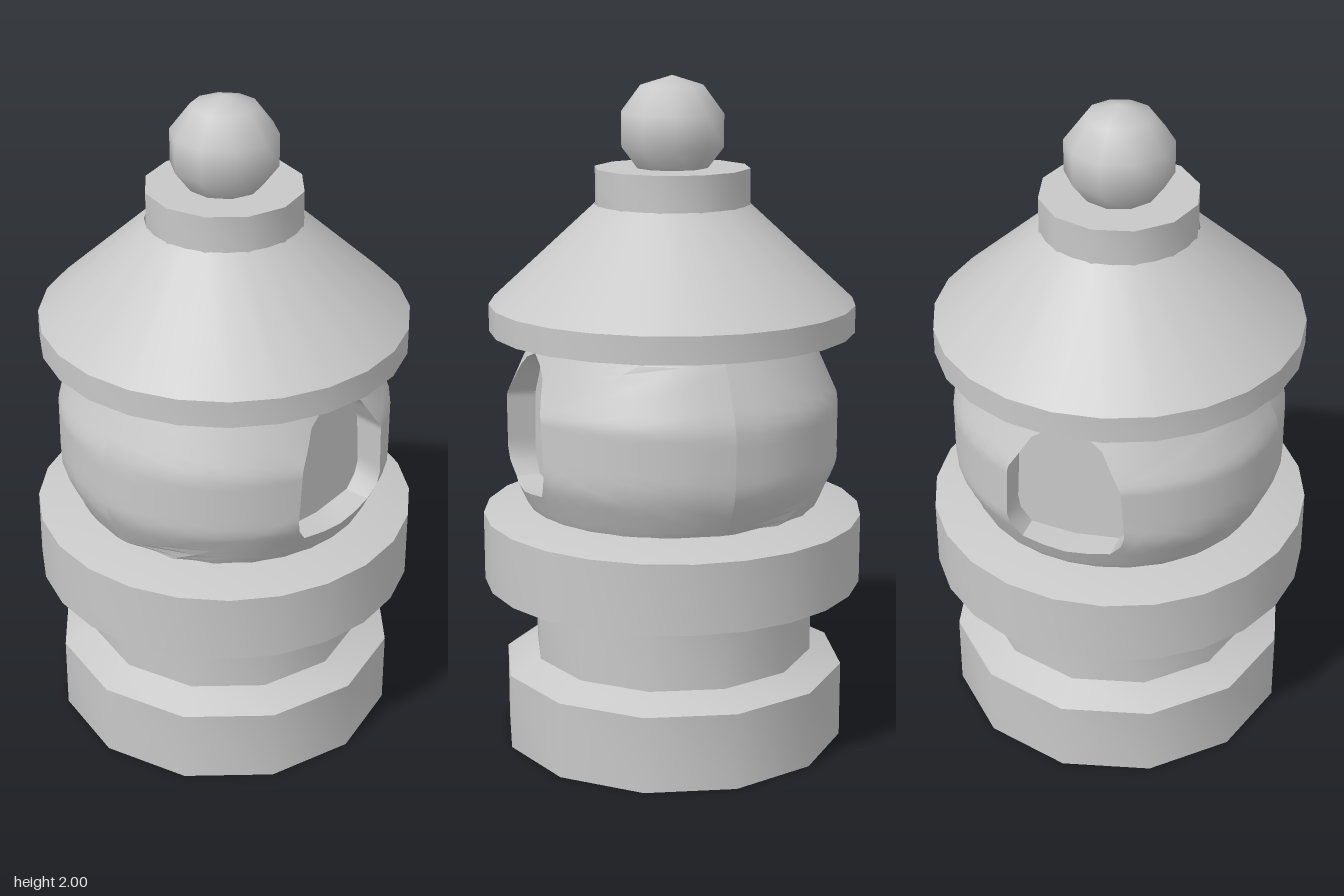
import * as THREE from 'three';
import { toCreasedNormals } from 'three/addons/utils/BufferGeometryUtils.js';

const stone = new THREE.MeshStandardMaterial({ color: 0xc8c8c8, side: THREE.DoubleSide });
stone.name = 'stone';

function part(name, geometry, crease = 0.6) {
  const mesh = new THREE.Mesh(toCreasedNormals(geometry, crease), stone);
  mesh.name = name;
  return mesh;
}

// Turned part from a [radius, height] profile, listed bottom to top
function turned(name, profile, sides) {
  const points = profile.map(([r, y]) => new THREE.Vector2(r, y));
  return part(name, new THREE.LatheGeometry(points, sides));
}

// Skin between equal closed rows of points
function loft(rows) {
  const n = rows[0].length;
  const index = [];
  for (let j = 0; j < rows.length - 1; j++) {
    for (let i = 0; i < n; i++) {
      const k = (i + 1) % n;
      const a = j * n + i, b = j * n + k, c = (j + 1) * n + i, d = (j + 1) * n + k;
      index.push(a, c, b, b, c, d);
    }
  }
  const geometry = new THREE.BufferGeometry();
  geometry.setAttribute('position', new THREE.Float32BufferAttribute(rows.flat(2), 3));
  geometry.setIndex(index);
  return geometry;
}

// Lamp house radius by height
const bulge = [[0.70, 0.415], [0.745, 0.44], [0.867, 0.495], [1.06, 0.495], [1.26, 0.405], [1.3, 0.385]];
function radiusAt(y) {
  const i = Math.max(1, bulge.findIndex(([h]) => h >= y));
  const [y0, r0] = bulge[i - 1], [y1, r1] = bulge[i];
  return r0 + (r1 - r0) * (y - y0) / (y1 - y0);
}

const MID = 1.005, HALF = 0.275, PANEL_Z = 0.375;

// Window outline in x, y, anticlockwise from the right side
const opening = [
  [0.18, 0.885], [0.17, 1.055], [0.095, 1.18], [0, 1.213], [-0.095, 1.18], [-0.17, 1.06],
  [-0.18, 0.865], [-0.143, 0.81], [0, 0.80], [0.15, 0.82],
];

// Half of the lamp house, with a recessed window in its middle
function houseHalf(name) {
  const group = new THREE.Group();
  group.name = name;
  // u runs round the half from -1 to 1, v runs up it from -1 to 1
  const flat = opening.map(([x, y]) =>
    [Math.asin(x / radiusAt(y)) / (Math.PI / 2), (y - MID) / HALF]);
  const onBulge = ([u, v]) => {
    const y = MID + v * HALF, r = radiusAt(y), a = u * Math.PI / 2;
    return [r * Math.sin(a), y, r * Math.cos(a)];
  };
  const rim = [], edge = [];
  const COUNT = 48;
  for (let i = 0; i < COUNT; i++) {
    const a = i / COUNT * Math.PI * 2, dx = Math.cos(a), dy = Math.sin(a);
    const m = Math.max(Math.abs(dx), Math.abs(dy));
    edge.push([dx / m, dy / m]);
    // where the ray crosses the window outline
    for (let j = 0; j < flat.length; j++) {
      const [px, py] = flat[j], [qx, qy] = flat[(j + 1) % flat.length];
      const ex = qx - px, ey = qy - py, det = dx * ey - dy * ex;
      const t = (px * ey - py * ex) / det, s = (px * dy - py * dx) / det;
      if (t > 0 && s >= -1e-9 && s <= 1 + 1e-9) {
        rim.push([dx * t, dy * t]);
        break;
      }
    }
  }
  const rows = [];
  const STEPS = 8;
  for (let k = 0; k <= STEPS; k++) {
    const f = k / STEPS;
    rows.push(rim.map(([u, v], i) =>
      onBulge([u + (edge[i][0] - u) * f, v + (edge[i][1] - v) * f])));
  }
  // outward-facing skin, then the reveal and the flat panel
  group.add(part('lampHouseWall', loft(rows)));
  const front = rows[0];
  const back = front.map(([x, y]) => [x, y, PANEL_Z]);
  group.add(part('windowReveal', loft([back, front])));
  const shape = new THREE.Shape(back.map(([x, y]) => new THREE.Vector2(x, y)));
  const panel = part('windowPanel', new THREE.ShapeGeometry(shape));
  panel.position.z = PANEL_Z;
  group.add(panel);
  return group;
}

export function createModel() {
  const model = new THREE.Group();
  model.name = 'stoneLantern';

  // Hollow foot and pillar
  model.add(turned('footAndPillar', [[0.52, 0], [0.52, 0.23], [0.425, 0.272], [0.425, 0.47]], 12));

  // Wide platform with sloping upper and lower faces
  model.add(turned('platform',
    [[0.425, 0.455], [0.57, 0.497], [0.57, 0.705], [0.415, 0.745], [0, 0.745]], 24));

  // Lamp house with a window in front and one behind
  const front = houseHalf('lampHouseFront');
  const rear = houseHalf('lampHouseBack');
  rear.rotation.y = Math.PI;
  model.add(front, rear);

  // Roof, its collar and the ball on top
  model.add(turned('roof', [[0, 1.26], [0.542, 1.26], [0.542, 1.34], [0.228, 1.63]], 24));
  model.add(turned('collar', [[0.23, 1.62], [0.23, 1.735], [0, 1.735]], 12));
  const ball = part('finial', new THREE.SphereGeometry(0.163, 10, 5), 0.9);
  ball.scale.y = 0.155 / 0.163;
  ball.rotation.y = Math.PI / 2;
  ball.position.y = 1.845;
  model.add(ball);

  return model;
}
